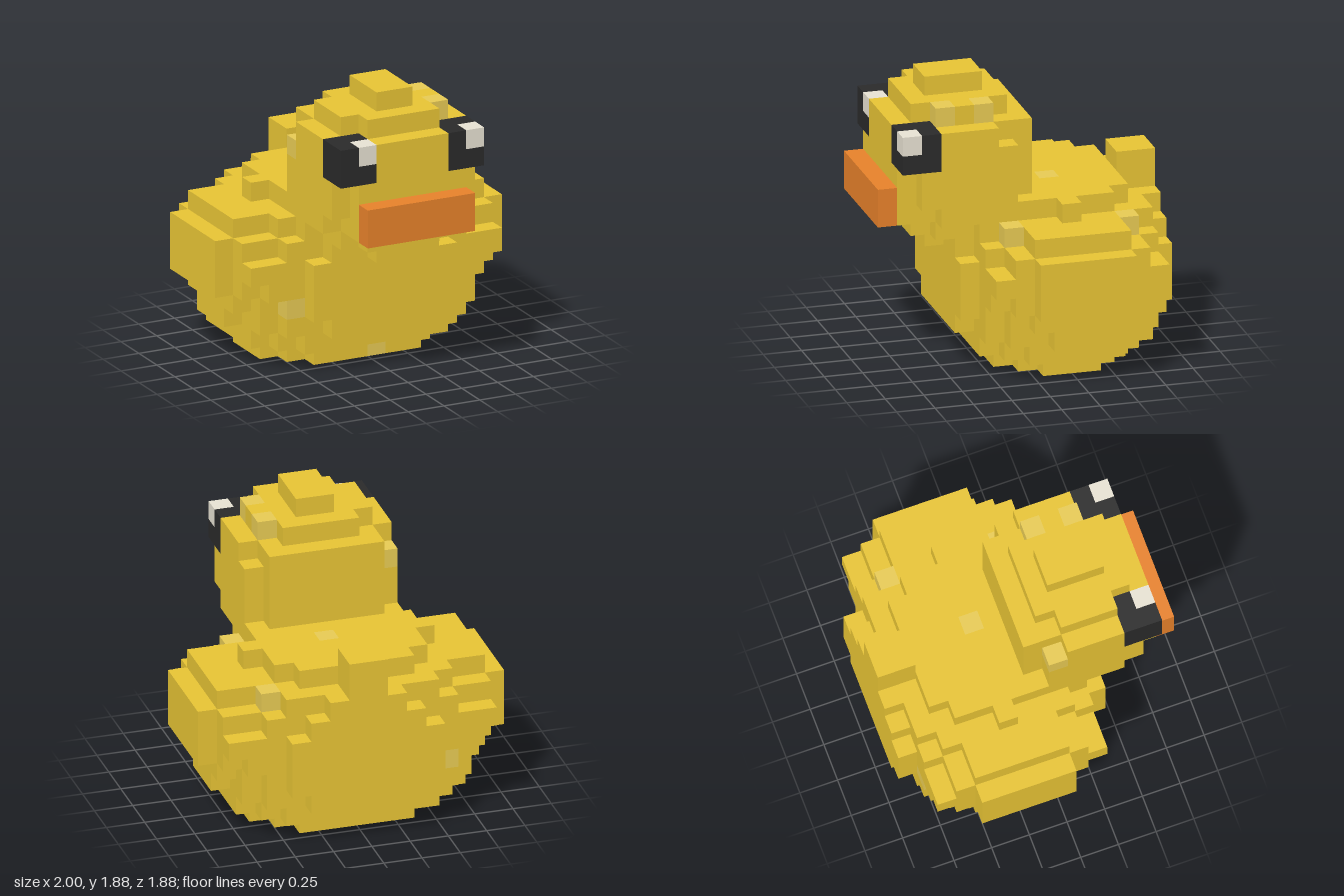
import * as THREE from 'three';

const U = 0.125; // edge length of one block

const material = (name, color) => {
  const m = new THREE.MeshStandardMaterial({ color });
  m.name = name;
  return m;
};

// Each layer: [front z in blocks, half-widths of the rows from front to back]
const bodyLayers = [
  [1.5, [3, 4, 5, 5, 5, 4, 3]],
  [2.5, [4, 5, 6, 6, 6, 6, 6, 5, 4]],
  [3.5, [3, 5, 6, 6, 7, 7, 7, 6, 6, 5, 3]],
  [3.5, [4, 5, 6, 7, 7, 7, 7, 7, 6, 5, 4]],
  [3.5, [4, 6, 7, 8, 8, 8, 8, 8, 7, 6, 4]],
  [3.5, [4, 7, 7, 8, 8, 8, 8, 8, 7, 7, 4]],
  [4.5, [1, 3, 5, 7, 8, 8, 8, 8, 8, 7, 5, 3]],
  [5.5, [2, 3, 3, 4, 5, 7, 7, 7, 7, 7, 5, 4, 2]],
  [6.5, [3, 3, 4, 4, 4, 4, 4, 4, 5, 4, 4, 3]],
];
const headLayers = [
  [6.5, [3, 4, 4, 4, 4, 4, 3]],
  [6.5, [3, 4, 4, 4, 4, 4, 3]],
  [6.5, [2, 2, 4, 4, 4, 4, 3]],
  [6.5, [2, 2, 4, 4, 4, 3, 3]],
  [5.5, [2, 3, 3, 3, 2]],
  [4.5, [1, 1, 1]],
];

// Scattered paler blocks: [x, layer, back z]
const paleBlocks = [
  [2, 13, 3.5], [2, 13, 1.5], [-4, 11, 0.5], [4, 7, 0.5], [4, 7, -5.5],
  [0, 8, -2.5], [-5, 3, 1.5], [-5, 3, -6.5], [0, 0, 0.5],
];

// Six face directions: normal, then two edge directions with u x v = normal
const faces = [
  [[1, 0, 0], [0, 1, 0], [0, 0, 1]], [[-1, 0, 0], [0, 0, 1], [0, 1, 0]],
  [[0, 1, 0], [0, 0, 1], [1, 0, 0]], [[0, -1, 0], [1, 0, 0], [0, 0, 1]],
  [[0, 0, 1], [1, 0, 0], [0, 1, 0]], [[0, 0, -1], [0, 1, 0], [1, 0, 0]],
];

export function createModel() {
  const mats = {
    yellow: material('duck yellow', 0xf2cd37),
    pale: material('pale yellow', 0xf7d85a),
    orange: material('beak orange', 0xef862c),
    black: material('eye black', 0x2a2a2a),
    white: material('eye glint', 0xf3eddd),
  };
  const blocks = new Map();
  const key = (x, y, z) => `${x},${y},${z}`;
  const put = (part, mat, x, y, z) => blocks.set(key(x, y, z), { part, mat, p: [x, y, z] });

  // Fill a cuboid of blocks
  const fill = (part, mat, x0, x1, y0, y1, z0, z1) => {
    for (let x = x0; x < x1; x++)
      for (let y = y0; y < y1; y++)
        for (let z = z0; z < z1; z++) put(part, mat, x, y, z);
  };
  // Fill rows of blocks layer by layer
  const stack = (part, layers, y0) => layers.forEach(([front, rows], i) =>
    rows.forEach((w, r) => fill(part, 'yellow', -w, w, y0 + i, y0 + i + 1, front - 1 - r, front - r)));

  stack('body', bodyLayers, 0);
  stack('head', headLayers, 9);
  fill('tail', 'yellow', -1, 1, 8, 10, -7.5, -5.5);
  fill('beak', 'orange', -3, 3, 8, 10, 6.5, 7.5);

  // Eyes, each with a glint in its upper front corner on the same side
  for (const [name, x] of [['rightEye', -4], ['leftEye', 2]]) {
    fill(name, 'black', x, x + 2, 11, 13, 4.5, 6.5);
    put(name, 'white', x + 1, 12, 5.5);
  }
  for (const p of paleBlocks) {
    const b = blocks.get(key(...p));
    if (b) b.mat = 'pale';
  }

  // Collect the exposed faces by part and colour
  const skins = new Map();
  for (const { part, mat, p } of blocks.values()) {
    for (const [n, u, v] of faces) {
      if (blocks.has(key(p[0] + n[0], p[1] + n[1], p[2] + n[2]))) continue;
      const id = `${part} ${mat}`;
      if (!skins.has(id)) skins.set(id, { part, mat, pos: [], nor: [] });
      const skin = skins.get(id);
      for (const [s, t] of [[0, 0], [1, 0], [1, 1], [0, 0], [1, 1], [0, 1]]) {
        for (let a = 0; a < 3; a++)
          skin.pos.push((p[a] + Math.max(n[a], 0) + s * u[a] + t * v[a]) * U);
        skin.nor.push(...n);
      }
    }
  }

  // One group per part, one mesh per colour
  const model = new THREE.Group();
  model.name = 'blockDuck';
  const groups = {};
  for (const { part, mat, pos, nor } of skins.values()) {
    if (!groups[part]) {
      groups[part] = new THREE.Group();
      groups[part].name = part;
      model.add(groups[part]);
    }
    const geo = new THREE.BufferGeometry();
    geo.setAttribute('position', new THREE.Float32BufferAttribute(pos, 3));
    geo.setAttribute('normal', new THREE.Float32BufferAttribute(nor, 3));
    const mesh = new THREE.Mesh(geo, mats[mat]);
    mesh.name = `${part} ${mats[mat].name}`;
    groups[part].add(mesh);
  }
  return model;
}
